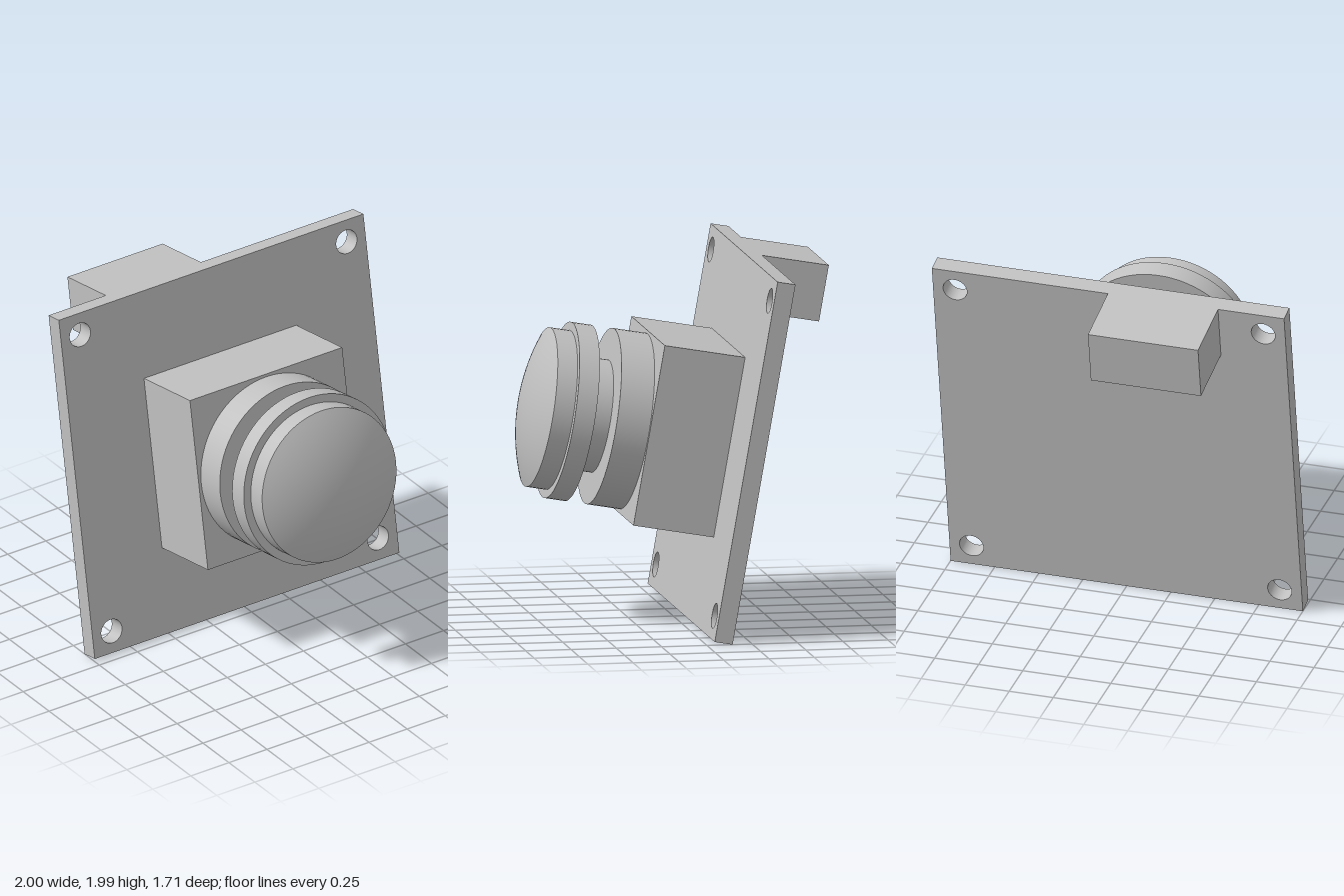
import * as THREE from 'three';

export function createModel() {
  const model = new THREE.Group();
  model.name = 'cameraBoard';
  const grey = new THREE.MeshStandardMaterial({ color: 0xc0c0c0 });
  grey.name = 'light grey';

  // Everything is built upright around the board's front centre, then leaned back
  const assembly = new THREE.Group();
  assembly.name = 'tiltedAssembly';
  assembly.position.set(0, 1.002, -0.217);
  assembly.rotation.x = THREE.MathUtils.degToRad(-10);
  model.add(assembly);

  const add = (name, geometry, x = 0, y = 0, z = 0) => {
    const mesh = new THREE.Mesh(geometry, grey);
    mesh.name = name;
    mesh.position.set(x, y, z);
    assembly.add(mesh);
  };

  // Square board with a mounting hole in each corner
  const outline = new THREE.Shape();
  outline.moveTo(-1, -1).lineTo(1, -1).lineTo(1, 1).lineTo(-1, 1).closePath();
  for (const sx of [-1, 1]) {
    for (const sy of [-1, 1]) {
      const hole = new THREE.Path();
      hole.absarc(sx * 0.875, sy * 0.875, 0.068, 0, Math.PI * 2, true);
      outline.holes.push(hole);
    }
  }
  add('board', new THREE.ExtrudeGeometry(outline, { depth: 0.1, bevelEnabled: false, curveSegments: 32 }), 0, 0, -0.1);

  // Sensor housing in front, connector block behind the top edge
  add('sensorHousing', new THREE.BoxGeometry(1, 1, 0.45), 0, 0, 0.225);
  add('connector', new THREE.BoxGeometry(0.625, 0.3125, 0.375), -0.3125, 1 - 0.3125 / 2, -0.1 - 0.1875);

  // Stepped lens barrel: name, radius, start and end along the lens axis
  const barrel = [
    ['lensBase', 0.484, 0.45, 0.635],
    ['lensNeck', 0.31, 0.635, 0.757],
    ['focusRing', 0.484, 0.757, 0.87],
    ['lensCap', 0.438, 0.87, 0.981],
  ];
  for (const [name, radius, start, end] of barrel) {
    const disc = new THREE.CylinderGeometry(radius, radius, end - start, 72);
    add(name, disc.rotateX(Math.PI / 2), 0, 0, (start + end) / 2);
  }

  // Shallow spherical lens glass
  const rim = 0.438, height = 0.09;
  const sphere = (rim * rim + height * height) / (2 * height);
  const spread = Math.asin(rim / sphere);
  const arc = [];
  for (let i = 0; i <= 14; i++) {
    const a = spread * (1 - i / 14);
    arc.push(new THREE.Vector2(sphere * Math.sin(a), sphere * Math.cos(a) - sphere + height));
  }
  add('lensDome', new THREE.LatheGeometry(arc, 72).rotateX(Math.PI / 2), 0, 0, 0.981);

  return model;
}
